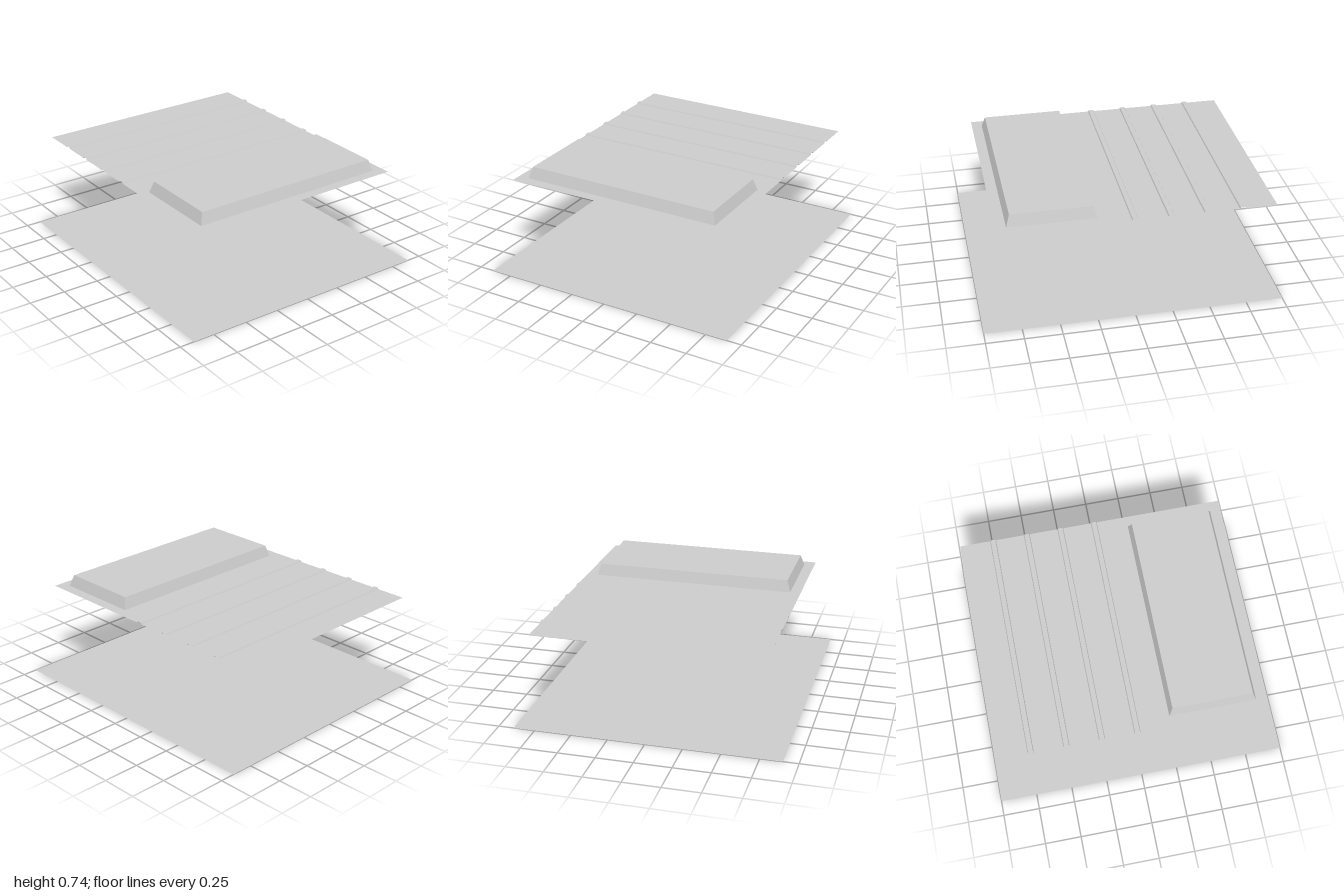
import * as THREE from 'three';

const SHEET_Y = 0.659, HALF_W = 0.775, BACK = -0.96, JOIN = 0.09, FRONT = 0.873;

const material = new THREE.MeshStandardMaterial({ color: 0xcccccc, flatShading: true, side: THREE.DoubleSide });

// Mesh from a list of four-cornered faces, corners counter-clockwise
function quadMesh(name, quads) {
  const points = quads.flatMap(([a, b, c, d]) => [a, b, c, a, c, d]);
  const geometry = new THREE.BufferGeometry();
  geometry.setAttribute('position', new THREE.Float32BufferAttribute(points.flat(), 3));
  geometry.computeVertexNormals();
  const mesh = new THREE.Mesh(geometry, material);
  mesh.name = name;
  return mesh;
}

// Level rectangle of four corners
const ring = (halfW, z0, z1, y) => [[-halfW, y, z0], [-halfW, y, z1], [halfW, y, z1], [halfW, y, z0]];

// Rear sheet folded into low raised ribs running across the width
function ribbedSheet() {
  const profile = [[BACK, 0]];
  for (let i = 0; i < 4; i++) {
    const z = -0.728 + i * 0.2375;
    profile.push([z - 0.021, 0], [z - 0.016, 0.01], [z + 0.016, 0.01], [z + 0.021, 0]);
  }
  profile.push([JOIN, 0]);
  const quads = [];
  for (let i = 0; i < profile.length - 1; i++) {
    const [z0, h0] = profile[i], [z1, h1] = profile[i + 1];
    quads.push([
      [-HALF_W, SHEET_Y + h0, z0], [-HALF_W, SHEET_Y + h1, z1],
      [HALF_W, SHEET_Y + h1, z1], [HALF_W, SHEET_Y + h0, z0],
    ]);
  }
  return quadMesh('ribbedSheet', quads);
}

// Front sheet pressed up into a hollow tapered box, open underneath
function raisedPanel() {
  const rings = [
    ring(HALF_W, JOIN, FRONT, SHEET_Y),
    ring(0.702, 0.213, 0.802, SHEET_Y),
    ring(0.677, 0.236, 0.778, 0.738),
  ];
  const quads = [rings[2]];
  for (let r = 0; r < 2; r++) {
    for (let i = 0; i < 4; i++) {
      const j = (i + 1) % 4;
      quads.push([rings[r][i], rings[r][j], rings[r + 1][j], rings[r + 1][i]]);
    }
  }
  return quadMesh('raisedPanel', quads);
}

export function createModel() {
  const group = new THREE.Group();
  group.name = 'ribbedPanelOverBase';
  group.add(quadMesh('baseSheet', [ring(0.898, -1, 1, 0)]), ribbedSheet(), raisedPanel());
  return group;
}
